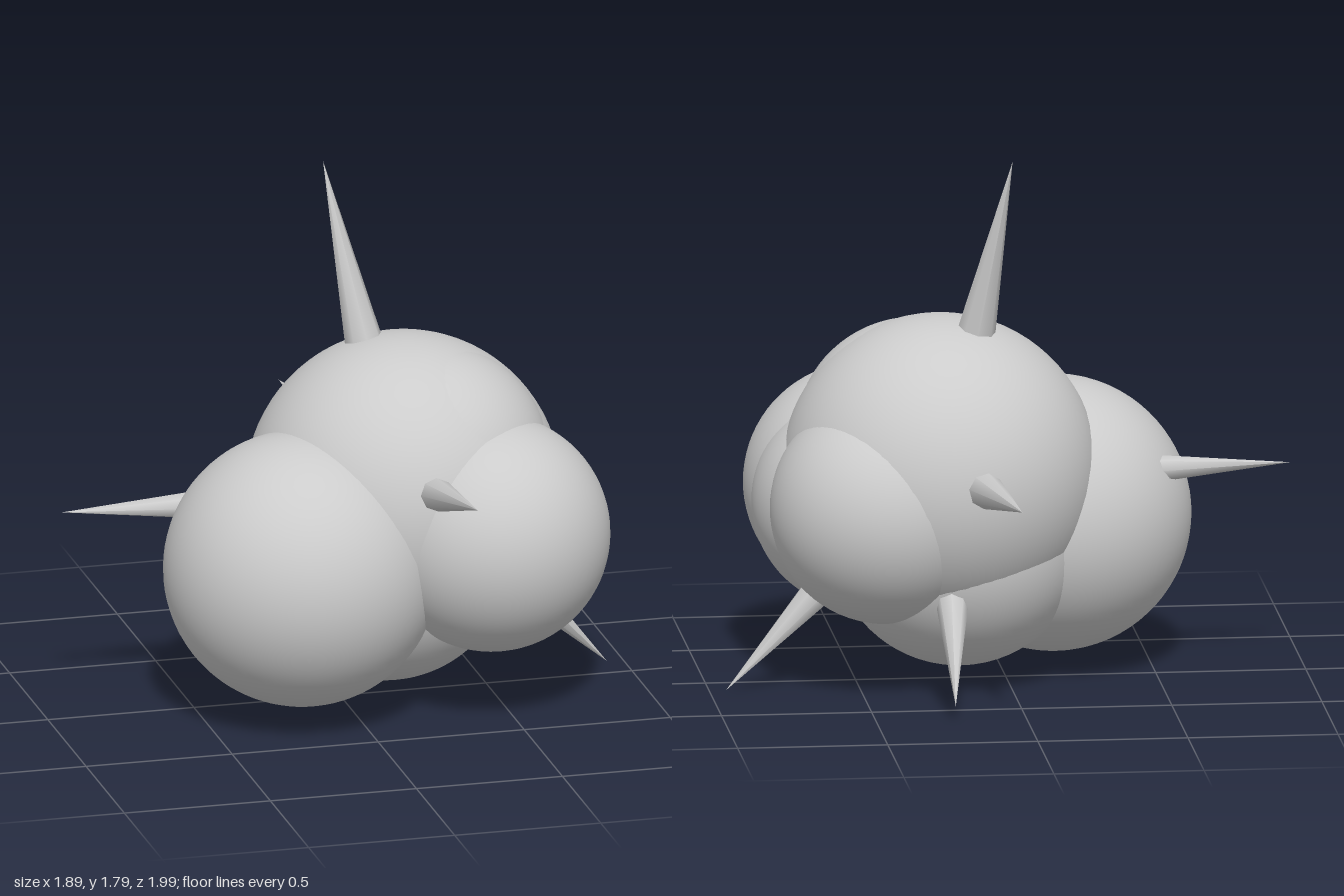
import * as THREE from 'three';

const material = new THREE.MeshStandardMaterial({ color: 0xcccccc });

// Overlapping lobes: name, centre, radius
const LOBES = [
  ['mainLobe', [0.22, 0.71, -0.01], 0.525],
  ['rightLobe', [-0.175, 0.52, 0.17], 0.46],
  ['leftFrontLobe', [0.45, 0.62, 0.26], 0.395],
  ['leftBackLobe', [0.415, 0.62, -0.155], 0.385],
  ['leftMiddleLobe', [0.475, 0.595, 0.09], 0.36],
  ['bottomLobe', [0.16, 0.48, -0.02], 0.42],
  ['upperBump', [0.295, 0.81, 0.056], 0.4],
];

// Spikes: name, point where the spike leaves the body, tip, radius there
const SPIKES = [
  ['topSpike', [0.105, 1.22, -0.11], [0, 1.8, -0.22], 0.062],
  ['rightSpike', [-0.54, 0.705, -0.03], [-0.945, 0.715, -0.03], 0.042],
  ['frontSpike', [0.205, 0.85, 0.5], [0.21, 0.96, 1], 0.055],
  ['backSpike', [0.12, 0.75, -0.52], [0.05, 0.78, -0.99], 0.06],
  ['leftLowerSpike', [0.65, 0.31, -0.08], [0.945, 0.005, -0.12], 0.052],
  ['backLowerSpike', [0.22, 0.33, -0.4], [0.24, 0.06, -0.69], 0.052],
];

function spike(name, base, tip, radius) {
  const end = new THREE.Vector3(...tip);
  const axis = end.clone().sub(new THREE.Vector3(...base));
  // Lengthen the cone a little so its foot is sunk into the lobe
  const length = axis.length() + 0.05;
  const footRadius = (radius * length) / axis.length();
  axis.normalize();
  const mesh = new THREE.Mesh(new THREE.ConeGeometry(footRadius, length, 8), material);
  mesh.quaternion.setFromUnitVectors(new THREE.Vector3(0, 1, 0), axis);
  mesh.position.copy(end).addScaledVector(axis, -length / 2);
  mesh.name = name;
  return mesh;
}

export function createModel() {
  const model = new THREE.Group();
  model.name = 'spikyCluster';

  for (const [name, centre, radius] of LOBES) {
    const lobe = new THREE.Mesh(new THREE.SphereGeometry(radius, 64, 40), material);
    lobe.position.set(...centre);
    lobe.name = name;
    model.add(lobe);
  }
  for (const args of SPIKES) model.add(spike(...args));

  return model;
}
